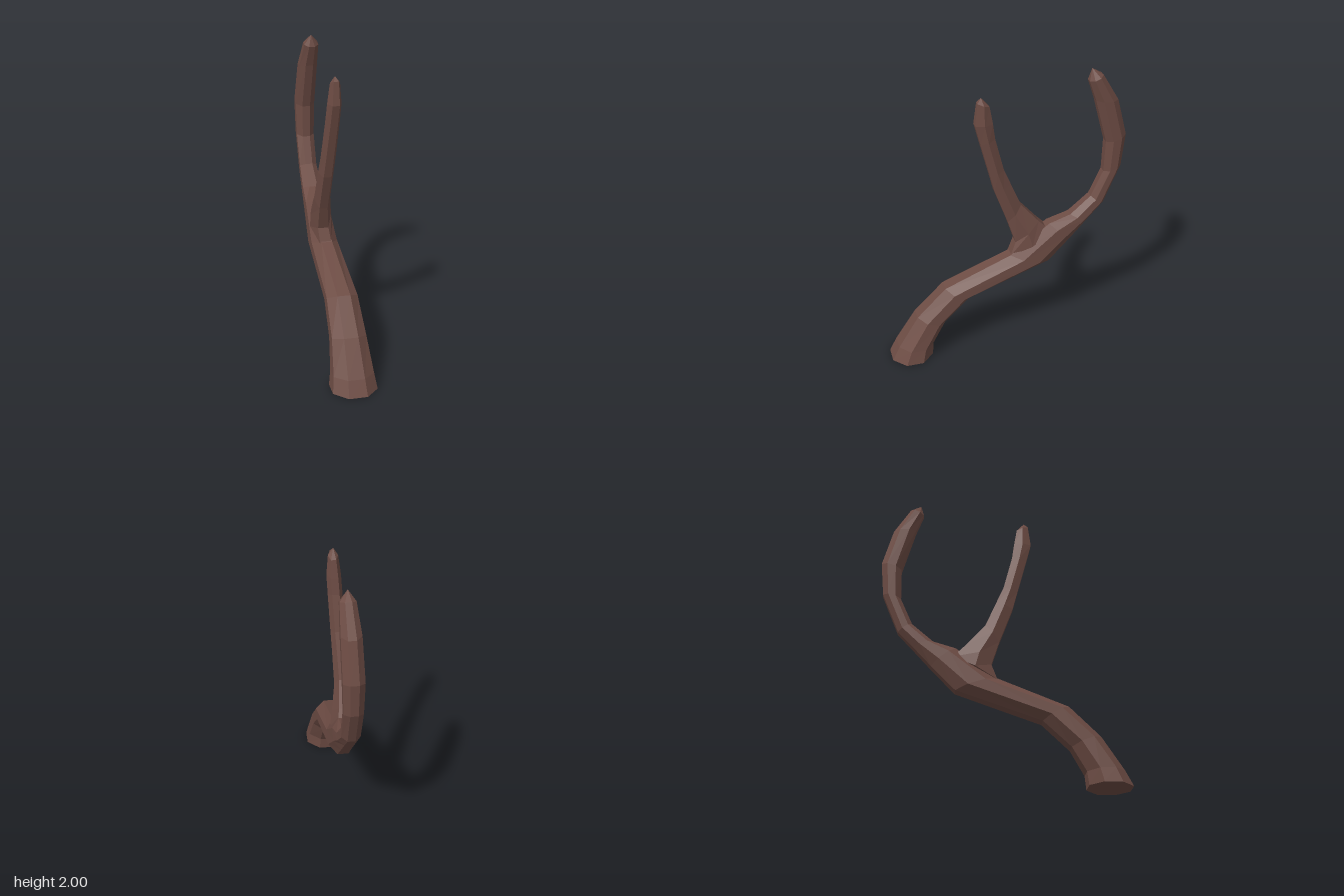
import * as THREE from 'three';

// Lofts rings into a faceted limb. Each ring: [zA, yA, zB, yB, xMin, xMax],
// where A is the front/upper edge and B the back/lower edge.
function limb(name, rings, sides, tip, material) {
  const step = (Math.PI * 2) / sides;
  const widen = 1 / Math.cos(step / 2);
  const widenX = sides % 4 === 0 ? widen : 1;
  const loops = rings.map(([zA, yA, zB, yB, x0, x1]) =>
    Array.from({ length: sides }, (_, j) => {
      const t = (j + 0.5) * step;
      const c = Math.cos(t) * widen;
      const s = Math.sin(t) * widenX;
      return [
        (x0 + x1) / 2 + ((x1 - x0) / 2) * s,
        Math.max(0, (yA + yB) / 2 + ((yA - yB) / 2) * c),
        (zA + zB) / 2 + ((zA - zB) / 2) * c,
      ];
    }));
  const pos = [];
  const tri = (a, b, c) => pos.push(...a, ...b, ...c);
  const last = loops.length - 1;
  const [zA, yA, zB, yB, x0, x1] = rings[0];
  const foot = [(x0 + x1) / 2, (yA + yB) / 2, (zA + zB) / 2];
  for (let j = 0; j < sides; j++) {
    const k = (j + 1) % sides;
    for (let i = 0; i < last; i++) {
      tri(loops[i][j], loops[i][k], loops[i + 1][k]);
      tri(loops[i][j], loops[i + 1][k], loops[i + 1][j]);
    }
    tri(foot, loops[0][k], loops[0][j]);
    tri(loops[last][j], loops[last][k], tip);
  }
  const geometry = new THREE.BufferGeometry();
  geometry.setAttribute('position', new THREE.Float32BufferAttribute(pos, 3));
  geometry.computeVertexNormals();
  const mesh = new THREE.Mesh(geometry, material);
  mesh.name = name;
  return mesh;
}

export function createModel() {
  const bark = new THREE.MeshStandardMaterial({ color: 0x6d4c44, flatShading: true });
  bark.name = 'brown bark';
  const group = new THREE.Group();
  group.name = 'bareTree';

  // Leaning trunk with a flared foot, running on into the rear bough
  group.add(limb('trunkAndRearBough', [
    [0.81, 0, 0.53, 0, -0.145, 0.145],
    [0.76, 0.1, 0.52, 0.09, -0.132, 0.13],
    [0.62, 0.32, 0.43, 0.25, -0.115, 0.11],
    [0.42, 0.52, 0.25, 0.42, -0.105, 0.1],
    [-0.04, 0.7, -0.31, 0.61, -0.1, 0.078],
    [-0.31, 0.905, -0.47, 0.775, -0.088, 0.066],
    [-0.46, 0.95, -0.59, 0.905, -0.08, 0.055],
    [-0.6, 1.07, -0.69, 1.01, -0.074, 0.045],
    [-0.68, 1.25, -0.8, 1.28, -0.076, 0.045],
    [-0.685, 1.47, -0.82, 1.51, -0.08, 0.052],
    [-0.6, 1.78, -0.75, 1.77, -0.068, 0.056],
    [-0.55, 1.92, -0.64, 1.955, -0.045, 0.052],
  ], 8, [0, 2, -0.57], bark));

  // Front bough rising out of the fork
  group.add(limb('frontBough', [
    [-0.04, 0.69, -0.33, 0.84, -0.095, 0.06],
    [-0.08, 0.79, -0.24, 0.93, -0.098, 0.045],
    [-0.03, 0.95, -0.12, 1.07, -0.09, 0.02],
    [0.06, 1.2, -0.05, 1.24, -0.08, 0.025],
    [0.093, 1.33, 0, 1.36, -0.07, 0.03],
    [0.155, 1.57, 0.06, 1.6, -0.055, 0.04],
    [0.19, 1.71, 0.075, 1.71, -0.048, 0.045],
    [0.172, 1.86, 0.095, 1.83, -0.03, 0.035],
  ], 6, [0, 1.89, 0.145], bark));

  return group;
}
